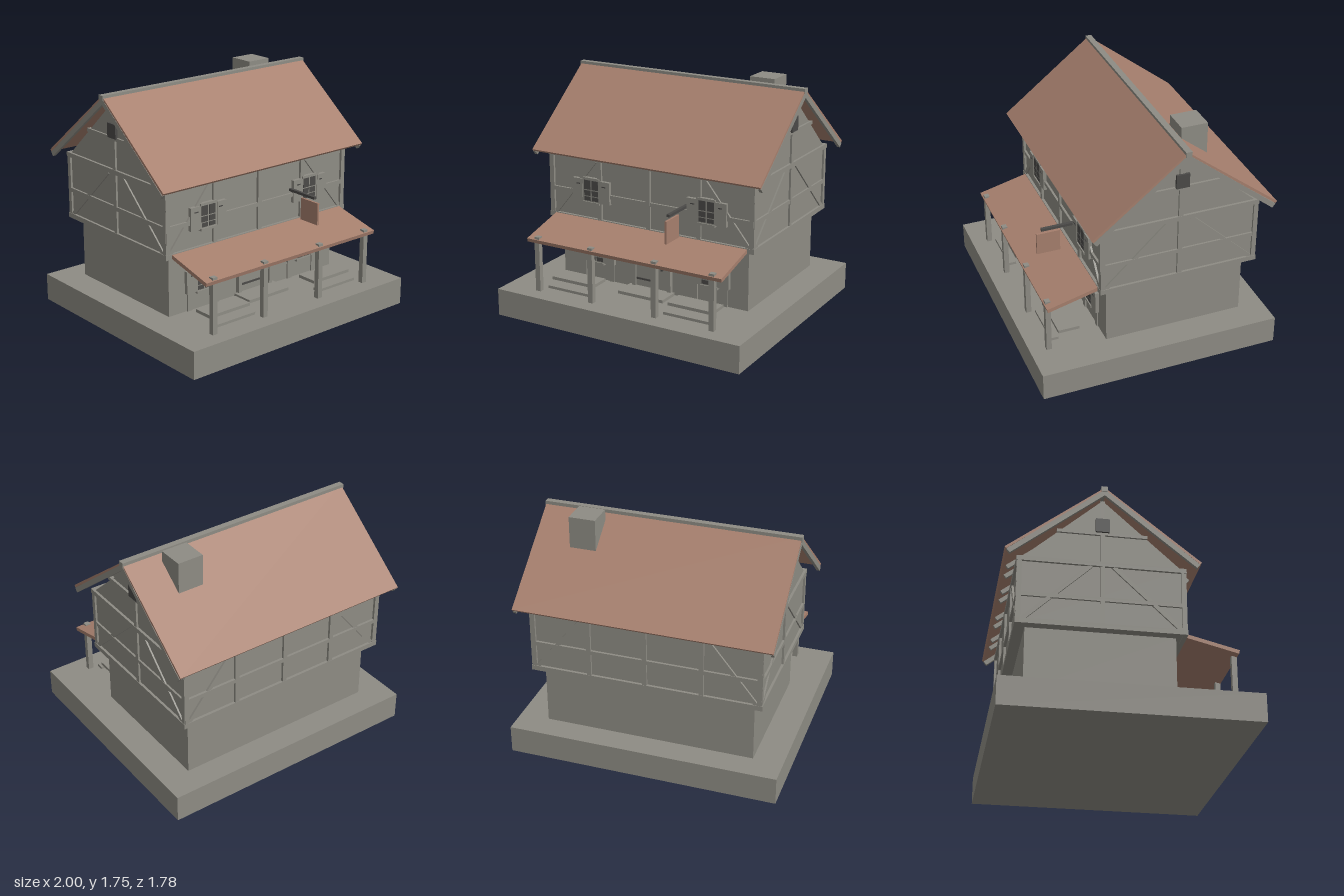
import * as THREE from 'three';

const mat = (name, color) => {
  const m = new THREE.MeshStandardMaterial({ color });
  m.name = name;
  return m;
};

export function createModel() {
  const stone = mat('grey', 0x8e8c84);
  const tile = mat('terracotta', 0xa67f6d);
  const dark = mat('charcoal', 0x4b4a48);
  const model = new THREE.Group();
  model.name = 'farmhouse';

  // Box given by its lower and upper limits on each axis
  const box = (name, m, x0, x1, y0, y1, z0, z1, parent = model) => {
    const mesh = new THREE.Mesh(new THREE.BoxGeometry(x1 - x0, y1 - y0, z1 - z0), m);
    mesh.position.set((x0 + x1) / 2, (y0 + y1) / 2, (z0 + z1) / 2);
    mesh.name = name;
    parent.add(mesh);
    return mesh;
  };
  // Straight bar between two points: w is its horizontal width, t its thickness
  const bar = (name, m, p, q, w, t) => {
    const a = new THREE.Vector3(...p), b = new THREE.Vector3(...q);
    const mesh = new THREE.Mesh(new THREE.BoxGeometry(w, t, a.distanceTo(b)), m);
    mesh.position.copy(a).add(b).multiplyScalar(0.5);
    mesh.lookAt(b);
    mesh.name = name;
    model.add(mesh);
    return mesh;
  };

  // Plinth and storeys
  const ridgeZ = -0.18;
  box('plinth', stone, -1, 1, 0, 0.205, -0.89, 0.89);
  box('groundFloor', stone, -0.78, 0.78, 0.2, 0.67, -0.7, 0.34);
  box('upperFloor', stone, -0.835, 0.835, 0.665, 1.17, -0.755, 0.39);

  // Attic with gable ends
  const gable = new THREE.Shape([[0.38, 1.165], [ridgeZ, 1.672], [-0.745, 1.165]].map(p => new THREE.Vector2(...p)));
  const atticGeo = new THREE.ExtrudeGeometry(gable, { depth: 1.67, bevelEnabled: false });
  atticGeo.translate(0, 0, -0.835).rotateY(-Math.PI / 2);
  const attic = new THREE.Mesh(atticGeo, stone);
  attic.name = 'attic';
  model.add(attic);

  // Timber frame on the long walls
  for (const [z0, z1] of [[0.38, 0.408], [-0.773, -0.745]]) {
    for (const x of [-0.829, -0.413, 0, 0.413, 0.829]) {
      box('wallPost', stone, x - 0.017, x + 0.017, 0.67, 1.16, z0, z1);
    }
    box('sillBeam', stone, -0.853, 0.853, 0.663, 0.7, z0 - 0.002, z1 + 0.002);
    box('middleRail', stone, -0.84, 0.84, 0.87, 0.9, z0, z1 - 0.002);
    box('topPlate', stone, -0.853, 0.853, 1.138, 1.172, z0 - 0.002, z1 + 0.002);
    for (const s of [-1, 1]) {
      const z = (z0 + z1) / 2;
      bar('wallBrace', stone, [s * 0.45, 1.14, z], [s * 0.81, 0.695, z], 0.022, 0.03);
    }
  }

  // Timber frame on the gable sides
  for (const s of [-1, 1]) {
    const x0 = s > 0 ? 0.822 : -0.85, x1 = x0 + 0.028, xm = (x0 + x1) / 2;
    for (const z of [0.389, ridgeZ, -0.754]) {
      box('sidePost', stone, x0, x1, 0.67, 1.16, z - 0.017, z + 0.017);
    }
    box('sideSill', stone, x0 - 0.003, x1 + 0.003, 0.663, 0.7, -0.775, 0.41);
    box('sideRail', stone, x0, x1 - 0.001, 0.87, 0.9, -0.76, 0.395);
    box('sideTopPlate', stone, x0 - 0.003, x1 + 0.003, 1.138, 1.172, -0.775, 0.41);
    bar('sideBrace', stone, [xm, 1.14, -0.1], [xm, 0.695, 0.37], 0.022, 0.03);
    bar('sideBrace', stone, [xm, 1.14, -0.26], [xm, 0.695, -0.73], 0.022, 0.03);
    box('gablePost', stone, x0, x1, 1.16, 1.66, ridgeZ - 0.016, ridgeZ + 0.016);
    box('collarBeam', stone, x0, x1 + 0.002, 1.385, 1.41, -0.5, 0.135);
    const hx = s * 0.855;
    box('gableHatch', dark, hx - 0.009, hx + 0.009, 1.405, 1.51, -0.23, -0.133);
  }

  // Roof slopes, rafters and barge boards
  for (const [ez, dir] of [[0.5, 1], [-0.865, -1]]) {
    const slope = new THREE.Vector2(Math.abs(ez - ridgeZ), 0.535).normalize();
    // Point on the slope, lowered by d perpendicular to it
    const at = (x, z, y, d) => [x, y - d * slope.x, z - dir * d * slope.y];
    bar('roofSlope', tile, at(0, ez, 1.185, 0.009), at(0, ridgeZ, 1.72, 0.009), 1.87, 0.018);
    for (const x of [-0.925, 0.925]) {
      bar('bargeBoard', stone, at(x, ez - dir * 0.003, 1.18, 0.033), at(x, ridgeZ + dir * 0.01, 1.715, 0.033), 0.024, 0.036);
    }
    for (const x of [-0.67, -0.53, -0.285, -0.145, 0.145, 0.285, 0.53, 0.67]) {
      bar('rafter', stone, at(x, ez - dir * 0.02, 1.195, 0.033), at(x, ridgeZ + dir * 0.03, 1.69, 0.033), 0.022, 0.03);
    }
  }
  box('ridgeBeam', stone, -0.943, 0.94, 1.688, 1.725, -0.205, -0.16);
  box('chimney', stone, 0.465, 0.66, 1.3, 1.745, -0.445, -0.25);

  // Shuttered windows
  const addWindow = (x, y, z) => {
    const g = new THREE.Group();
    g.name = 'window';
    g.position.set(x, y, z);
    box('windowFrame', stone, -0.078, 0.078, -0.085, 0.085, -0.012, 0.012, g);
    box('windowSill', stone, -0.07, 0.07, -0.1, -0.083, -0.012, 0.02, g);
    box('windowLintel', stone, -0.07, 0.07, 0.083, 0.1, -0.012, 0.016, g);
    for (const s of [-1, 1]) {
      const a = s * 0.118;
      box('shutter', stone, a - 0.04, a + 0.04, -0.085, 0.085, -0.012, 0.016, g);
      box('shutterLatch', dark, s * 0.11 - 0.016, s * 0.11 + 0.016, 0.043, 0.051, 0.014, 0.019, g);
      for (const [y0, y1] of [[-0.075, -0.045], [-0.038, 0.002], [0.01, 0.08]]) {
        const c = s * 0.033;
        box('pane', dark, c - 0.027, c + 0.027, y0, y1, 0.01, 0.015, g);
      }
    }
    model.add(g);
  };
  for (const x of [-0.48, 0.48]) {
    addWindow(x, 0.91, 0.4);
    addWindow(x, 0.428, 0.352);
  }

  // Ground floor wall posts, door and step
  for (const s of [-1, 1]) {
    for (const x of [0.6, 0.355]) {
      box('groundPost', stone, s * x - 0.02, s * x + 0.02, 0.2, 0.665, 0.33, 0.35);
    }
    box('doorJamb', stone, s * 0.148 - 0.015, s * 0.148 + 0.015, 0.2, 0.6, 0.33, 0.37);
  }
  box('doorLintel', stone, -0.163, 0.163, 0.575, 0.605, 0.33, 0.37);
  box('door', stone, -0.135, 0.135, 0.2, 0.58, 0.33, 0.355);
  for (const y of [0.285, 0.535]) box('doorHinge', dark, -0.13, 0.05, y - 0.007, y + 0.007, 0.353, 0.361);
  box('doorHandle', dark, 0.083, 0.097, 0.38, 0.42, 0.353, 0.37);
  box('doorStep', stone, -0.19, 0.187, 0.2, 0.228, 0.35, 0.52);

  // Porch roof, posts and benches
  bar('porchRoof', tile, [0, 0.589, 0.777], [0, 0.684, 0.395], 1.6, 0.028);
  for (const x of [-0.72, -0.263, 0.263, 0.72]) {
    box('porchPost', stone, x - 0.02, x + 0.02, 0.2, 0.622, 0.735, 0.773);
  }
  for (const x of [-0.49, 0.49]) {
    box('benchSeat', stone, x - 0.18, x + 0.18, 0.268, 0.291, 0.503, 0.66);
    box('benchFootrest', stone, x - 0.18, x + 0.18, 0.22, 0.24, 0.66, 0.717);
  }

  // Hanging sign
  box('signBracket', dark, 0.3, 0.324, 0.916, 0.935, 0.39, 0.65);
  box('signBoard', tile, 0.304, 0.32, 0.73, 0.895, 0.512, 0.686);

  return model;
}
